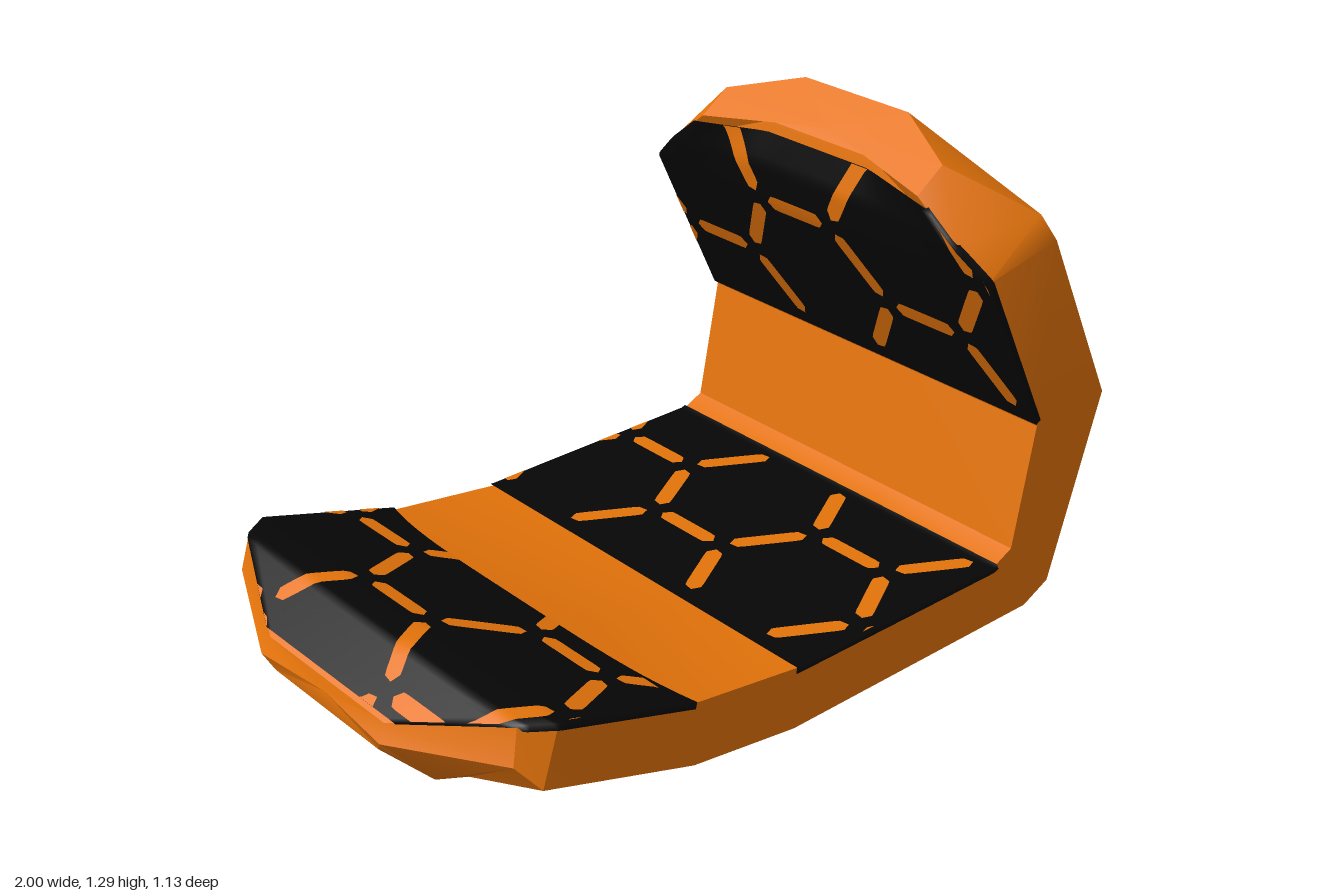
import * as THREE from 'three';
import { toCreasedNormals } from 'three/addons/utils/BufferGeometryUtils.js';

// Stations along the bent shell: [inner x, y, half width], [mid ...], [outer ...], dip of the inner centre
const stations = [
  [[-0.98, 0.325, 0.22], [-1.0, 0.285, 0.23], [-0.985, 0.25, 0.2], 0],
  [[-0.85, 0.408, 0.51], [-0.87, 0.32, 0.52], [-0.9, 0.175, 0.28], 0],
  [[-0.78, 0.406, 0.557], [-0.83, 0.27, 0.565], [-0.82, 0.15, 0.29], 0],
  [[-0.41, 0.295, 0.56], [-0.42, 0.14, 0.565], [-0.45, 0.04, 0.29], 0],
  [[-0.11, 0.255, 0.56], [-0.12, 0.1, 0.565], [-0.11, 0, 0.29], 0],
  [[0.54, 0.26, 0.56], [0.66, 0.11, 0.565], [0.75, 0.005, 0.29], 0],
  [[0.6, 0.29, 0.56], [0.74, 0.15, 0.565], [0.83, 0.06, 0.29], 0],
  [[0.66, 0.6, 0.56], [0.89, 0.62, 0.565], [1.0, 0.595, 0.29], 0],
  [[0.455, 1.02, 0.557], [0.67, 1.07, 0.565], [0.77, 1.1, 0.29], 0],
  [[0.428, 1.09, 0.475], [0.645, 1.13, 0.535], [0.735, 1.145, 0.25], 0.015],
  [[0.422, 1.18, 0.36], [0.5, 1.235, 0.36], [0.585, 1.29, 0.17], 0.045],
];
const FLAT = 0.17;

// Distance of each station along the inner face
const dist = [0];
for (let i = 1; i < stations.length; i++) {
  const a = stations[i - 1][0], b = stations[i][0];
  dist.push(dist[i - 1] + Math.hypot(b[0] - a[0], b[1] - a[1]));
}

// Inner face at distance s: x, y, half width, dip
function innerAt(s) {
  let i = 0;
  while (i < stations.length - 2 && s > dist[i + 1]) i++;
  const f = (s - dist[i]) / (dist[i + 1] - dist[i]);
  const a = [...stations[i][0], stations[i][3]], b = [...stations[i + 1][0], stations[i + 1][3]];
  return a.map((v, k) => v + (b[k] - v) * f);
}

// Point lying just above the inner face
function onInner(s, z, lift) {
  const [x, y, w, dip] = innerAt(s);
  const p = innerAt(s - 0.01), q = innerAt(s + 0.01);
  const dx = q[0] - p[0], dy = q[1] - p[1], l = Math.hypot(dx, dy);
  const k = Math.min(1, Math.max(0, (w - Math.abs(z)) / (w - FLAT))) * dip;
  return [x + k - (dy / l) * lift, y + k * 0.6 + (dx / l) * lift, z];
}

function toGeometry(points, index) {
  const g = new THREE.BufferGeometry();
  g.setAttribute('position', new THREE.Float32BufferAttribute(points.flat(), 3));
  g.setIndex(index);
  return g;
}

// Grid of faces from a rule fn(u, v)
function patch(nu, nv, fn) {
  const pts = [], idx = [];
  for (let i = 0; i <= nu; i++) for (let j = 0; j <= nv; j++) pts.push(fn(i / nu, j / nv));
  for (let i = 0; i < nu; i++) for (let j = 0; j < nv; j++) {
    const a = i * (nv + 1) + j, b = a + nv + 1;
    idx.push(a, a + 1, b + 1, a, b + 1, b);
  }
  const g = toGeometry(pts, idx);
  g.computeVertexNormals();
  return g;
}

// Closed shell lofted through the stations, with fan caps; both halves are split alike
function shellGeometry() {
  const pts = [], idx = [], n = 8;
  for (const [a, m, o, dip] of stations) {
    const cx = a[0] + dip, cy = a[1] + dip * 0.6;
    pts.push([a[0], a[1], -a[2]], [cx, cy, -FLAT], [cx, cy, FLAT], [a[0], a[1], a[2]],
      [m[0], m[1], m[2]], [o[0], o[1], o[2]], [o[0], o[1], -o[2]], [m[0], m[1], -m[2]]);
  }
  const last = stations.length - 1;
  for (let i = 0; i < last; i++) for (let j = 0; j < n; j++) {
    const a = i * n + j, d = i * n + (j + 1) % n;
    if ([2, 6, 7].includes(j)) idx.push(a, d, a + n, d, d + n, a + n);
    else idx.push(a, d, d + n, a, d + n, a + n);
  }
  for (const i of [0, last]) {
    const ring = pts.slice(i * n, i * n + n), c = pts.length;
    pts.push([0, 1, 2].map(k => ring.reduce((t, p) => t + p[k], 0) / n));
    for (let j = 0; j < n; j++) {
      const a = i * n + j, b = i * n + (j + 1) % n;
      idx.push(c, ...(i === 0 ? [b, a] : [a, b]));
    }
  }
  return toCreasedNormals(toGeometry(pts, idx).toNonIndexed(), 0.5);
}

export function createModel() {
  const orange = new THREE.MeshStandardMaterial({ color: 0xe4730a });
  orange.name = 'orange';
  const black = new THREE.MeshStandardMaterial({ color: 0x060606 });
  black.name = 'black';

  const model = new THREE.Group();
  model.name = 'bentShell';
  const add = (parent, name, geometry, material) => {
    const mesh = new THREE.Mesh(geometry, material);
    mesh.name = name;
    parent.add(mesh);
  };
  add(model, 'shell', shellGeometry(), orange);

  // Black panels on the inner face: start, end, flare of the end at the sides, column of the hexagon pattern
  const panels = [
    ['tipPanel', 0.012, dist[3] - 0.047, 0.045, 0.265],
    ['seatPanel', dist[4] - 0.005, dist[5] + 0.01, 0, dist[4] + 0.225],
    ['backPanel', dist[7] + 0.01, dist[10] - 0.02, 0, dist[7] + 0.455],
  ];
  for (const [name, s0, s1, flare, centre] of panels) {
    const group = new THREE.Group();
    group.name = name;
    model.add(group);
    // The outermost columns fold down over the side edge as a thin lip
    add(group, name + 'Plate', patch(48, 26, (u, v) => {
      const side = Math.max(-1, Math.min(1, (2 * v - 1) * 13 / 12));
      const lip = v === 0 || v === 1;
      const s = s0 + (s1 + flare * side ** 4 - s0) * u;
      return onInner(s, side * (innerAt(s)[2] + 0.004), lip ? -0.013 : 0.004);
    }), black);

    // One hexagon edge, shortened, with rounded ends, cut off at the panel border
    const dash = (sa, za, sb, zb) => {
      if (Math.max(sa, sb) < s0 + 0.03 || Math.min(sa, sb) > s1 - 0.03) return;
      const limit = innerAt(Math.min(s1, Math.max(s0, (sa + sb) / 2)))[2] - 0.02;
      if (Math.min(Math.abs(za), Math.abs(zb)) > limit) return;
      const ds = sb - sa, dz = zb - za, l = Math.hypot(ds, dz);
      add(group, 'hexagonLine', patch(12, 2, (u, v) => {
        const t = 0.1 + 0.8 * u;
        const half = 0.021 * Math.sqrt(Math.max(0, 1 - Math.pow(Math.abs(2 * u - 1), 12)));
        const k = (2 * v - 1) * half;
        const s = Math.min(s1, Math.max(s0, sa + ds * t - (dz / l) * k));
        const w = innerAt(s)[2];
        const z = Math.min(w, Math.max(-w, za + dz * t + (ds / l) * k));
        return onInner(s, z, 0.0075);
      }), orange);
    };

    // Hexagon lattice: edges across the shell and the slanted edges joining the columns
    const step = 0.21, period = 0.71;
    for (let k = -3; k <= 3; k++) for (let m = -2; m <= 2; m++) {
      const odd = Math.abs(k) % 2;
      const s = centre + k * step, z = -0.18 + m * period + odd * period / 2;
      dash(s, z, s, z + 0.235);
      if (!odd) for (const side of [-1, 1]) {
        dash(s, z, s + side * step, z - 0.12);
        dash(s, z + 0.235, s + side * step, z + 0.355);
      }
    }
  }
  return model;
}
